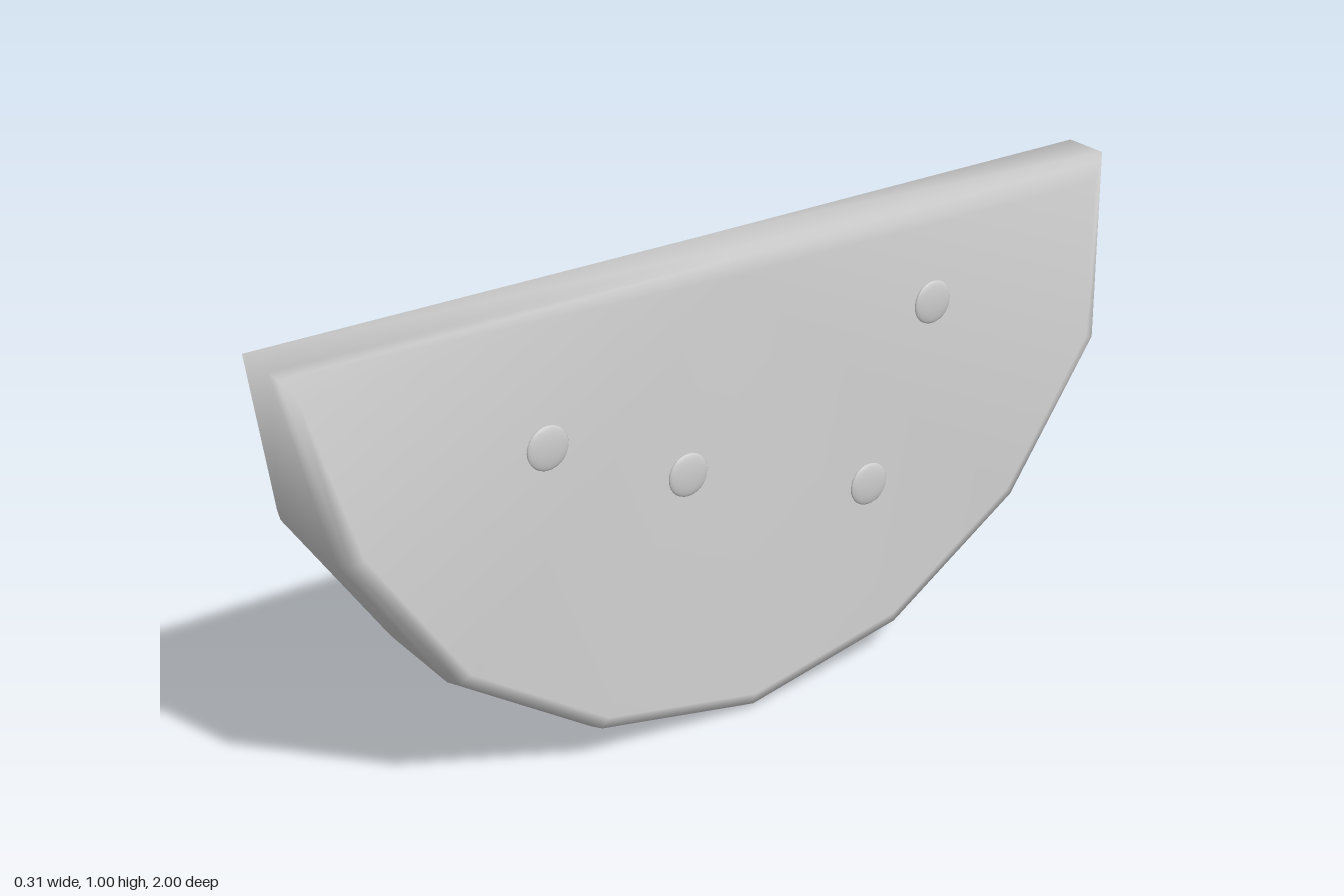
import * as THREE from 'three';

const SEGMENTS = 8; // facets along the curved rind

// Half-disc outlines from one flat side to the other:
// inset from the outline, then half thickness at rind, tips and top middle
const BEVEL = [
  { inset: 0.05, rind: 0.155, tip: 0.075, middle: 0.066 },
  { inset: 0.015, rind: 0.146, tip: 0.062, middle: 0.06 },
  { inset: 0, rind: 0.11, tip: 0.05, middle: 0.045 },
];

function sliceGeometry() {
  const positions = [];
  const index = [];
  const rings = [
    ...BEVEL.map((b) => ({ ...b, side: 1 })),
    ...[...BEVEL].reverse().map((b) => ({ ...b, side: -1 })),
  ];
  const count = SEGMENTS + 2;

  for (const { inset, rind, tip, middle, side } of rings) {
    for (let i = 0; i <= SEGMENTS; i++) {
      const a = (i / SEGMENTS) * Math.PI;
      const isTip = i === 0 || i === SEGMENTS;
      const r = 1 - inset * 0.8;
      const y = isTip ? 1 - inset : 1 - r * Math.sin(a);
      positions.push(side * (isTip ? tip : rind), y, r * Math.cos(a));
    }
    positions.push(side * middle, 1 - inset, 0); // middle of the top edge
  }

  // Bevels and rind band
  for (let k = 0; k < rings.length - 1; k++) {
    for (let i = 0; i < count; i++) {
      const j = (i + 1) % count;
      const a = k * count + i, b = k * count + j;
      const c = b + count, d = a + count;
      index.push(a, d, c, a, c, b);
    }
  }

  // Two sides, each a fan around the thin middle of the top edge
  const last = (rings.length - 1) * count;
  for (let i = 0; i < SEGMENTS; i++) {
    index.push(count - 1, i, i + 1);
    index.push(last + count - 1, last + i + 1, last + i);
  }

  const geometry = new THREE.BufferGeometry();
  geometry.setAttribute('position', new THREE.Float32BufferAttribute(positions, 3));
  geometry.setIndex(index);
  geometry.computeVertexNormals();
  return geometry;
}

export function createModel() {
  const model = new THREE.Group();
  model.name = 'melonSlice';
  const material = new THREE.MeshStandardMaterial({ color: 0xcccccc });

  const slice = new THREE.Mesh(sliceGeometry(), material);
  slice.name = 'slice';
  model.add(slice);

  // Flat round seeds on both sides
  const seedGeometry = new THREE.SphereGeometry(1, 20, 14);
  seedGeometry.scale(0.009, 0.047, 0.047);
  const seeds = new THREE.Group();
  seeds.name = 'seeds';
  const spots = [
    [0.12, 0.73, 0.47], [0.112, 0.575, 0.14], [0.135, 0.435, -0.305], [0.128, 0.805, -0.467],
    [-0.138, 0.43, -0.34], [-0.1, 0.745, -0.11], [-0.142, 0.345, 0.19], [-0.133, 0.57, 0.49],
  ];
  for (const [x, y, z] of spots) {
    const seed = new THREE.Mesh(seedGeometry, material);
    seed.name = 'seed';
    seed.position.set(x, y, z);
    seeds.add(seed);
  }
  model.add(seeds);
  return model;
}
